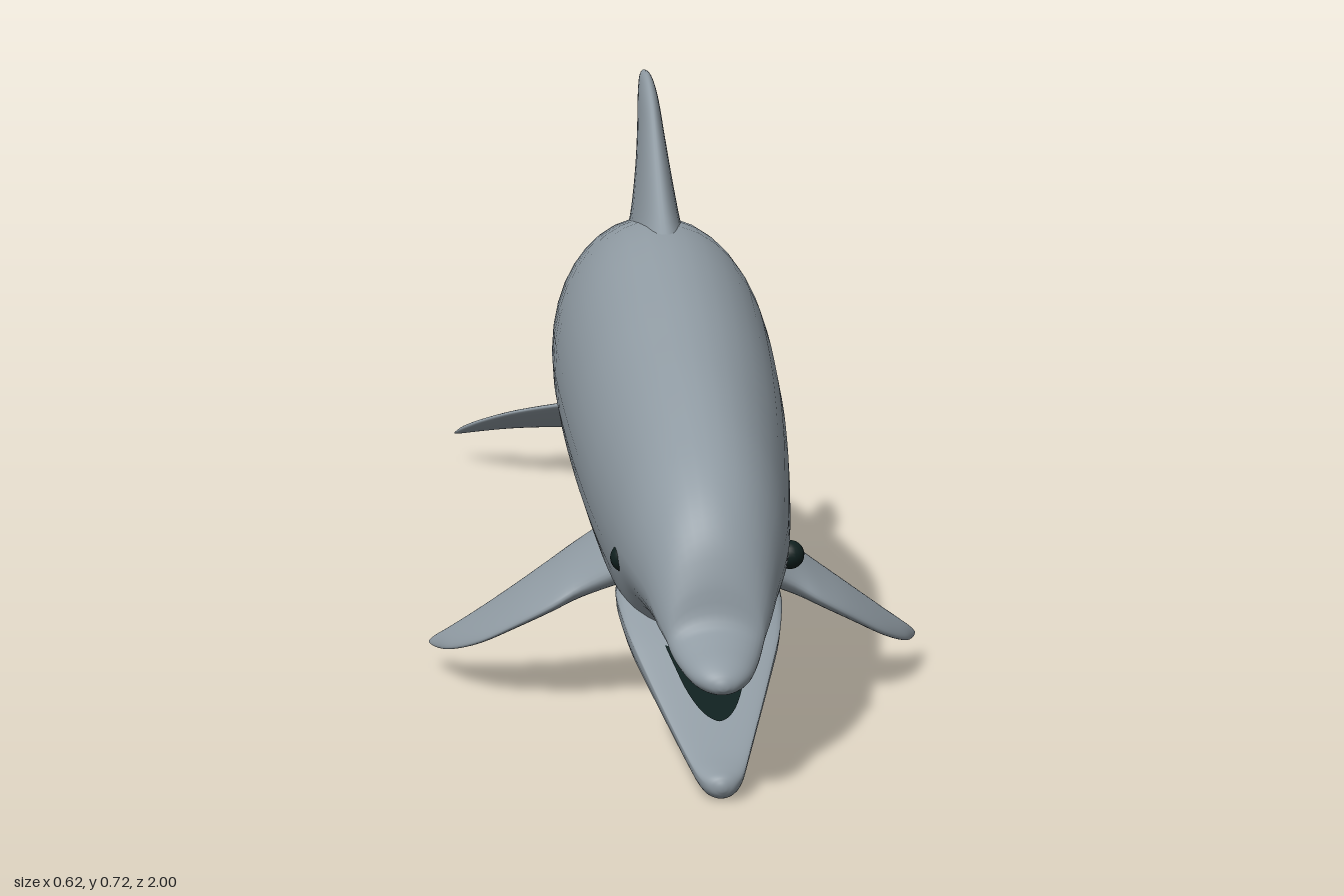
import * as THREE from 'three';

const skin = new THREE.MeshStandardMaterial({ color: 0x8f9aa2 });
skin.name = 'greySkin';
const dark = new THREE.MeshStandardMaterial({ color: 0x10201f, side: THREE.DoubleSide });
dark.name = 'darkEyeAndMouth';
const white = new THREE.MeshStandardMaterial({ color: 0xe8eaea });
white.name = 'eyeWhite';

const RING = 36;

// Closed skin over equal-sized rings of points, capped at both ends
function loft(rings, flip = false) {
  const n = rings[0].length, pos = [], index = [];
  rings.forEach(r => r.forEach(p => pos.push(...p)));
  const tri = (a, b, c) => (flip ? index.push(a, c, b) : index.push(a, b, c));
  for (let i = 0; i < rings.length - 1; i++) {
    for (let j = 0; j < n; j++) {
      const a = i * n + j, b = i * n + (j + 1) % n;
      tri(a, b, a + n);
      tri(b, b + n, a + n);
    }
  }
  [0, rings.length - 1].forEach((k, end) => {
    const c = pos.length / 3;
    pos.push(...[0, 1, 2].map(d => rings[k].reduce((s, p) => s + p[d], 0) / n));
    for (let j = 0; j < n; j++) {
      const a = k * n + j, b = k * n + (j + 1) % n;
      end ? tri(a, b, c) : tri(b, a, c);
    }
  });
  const g = new THREE.BufferGeometry();
  g.setAttribute('position', new THREE.Float32BufferAttribute(pos, 3));
  g.setIndex(index);
  g.computeVertexNormals();
  return g;
}

// Smoothly interpolate a table of section rows
function refine(rows, steps) {
  const curve = cols => new THREE.CatmullRomCurve3(
    rows.map(r => new THREE.Vector3(...cols.map(c => r[c]))), false, 'catmullrom', 0.5);
  const a = curve([0, 1, 2]), b = curve([0, 3, 4]);
  const count = (rows.length - 1) * steps;
  return Array.from({ length: count + 1 }, (_, i) => {
    const p = a.getPoint(i / count), q = b.getPoint(i / count);
    return [p.x, p.y, p.z, q.y, q.z];
  });
}

function ring(fn) {
  return Array.from({ length: RING }, (_, j) => {
    const t = (j / RING) * Math.PI * 2;
    return fn(Math.cos(t), Math.sin(t));
  });
}

// Rows: z, top, bottom, half width, height of the widest point
const trunk = rows => loft(refine(rows, 4).map(([z, top, bot, w, mid]) =>
  ring((c, s) => [w * c, mid + s * (s > 0 ? top - mid : mid - bot), z])));

// Rows: x, front z, back z, centre y, half thickness
const sideFin = (rows, side, slope) => loft(refine(rows, 4).map(([x, zf, zb, y, t]) =>
  ring((c, s) => {
    const dz = s * (zf - zb) / 2;
    return [side * x, y + t * c + slope * dz, (zf + zb) / 2 + dz];
  })), side < 0);

// Rows: y, front z, back z, half thickness, unused
const topFin = rows => loft(refine(rows, 4).map(([y, zf, zb, t]) =>
  ring((c, s) => [t * s, y, (zf + zb) / 2 + c * (zf - zb) / 2])));

export function createModel() {
  const model = new THREE.Group();
  model.name = 'dolphin';
  const add = (name, geometry, material, x = 0, y = 0, z = 0) => {
    const m = new THREE.Mesh(geometry, material);
    m.name = name;
    m.position.set(x, y, z);
    model.add(m);
    return m;
  };

  // Body, forehead and upper beak
  add('bodyAndUpperBeak', trunk([
    [-0.93, 0.085, 0.068, 0.006, 0.076],
    [-0.86, 0.122, 0.084, 0.02, 0.103],
    [-0.78, 0.195, 0.1, 0.028, 0.14],
    [-0.7, 0.268, 0.12, 0.035, 0.19],
    [-0.6, 0.328, 0.14, 0.052, 0.23],
    [-0.5, 0.383, 0.155, 0.074, 0.27],
    [-0.35, 0.455, 0.169, 0.105, 0.31],
    [-0.2, 0.492, 0.165, 0.117, 0.33],
    [0, 0.53, 0.156, 0.133, 0.35],
    [0.2, 0.545, 0.145, 0.14, 0.35],
    [0.4, 0.503, 0.127, 0.135, 0.32],
    [0.55, 0.46, 0.11, 0.125, 0.29],
    [0.64, 0.433, 0.1, 0.116, 0.27],
    [0.71, 0.408, 0.105, 0.108, 0.255],
    [0.77, 0.383, 0.14, 0.1, 0.245],
    [0.82, 0.357, 0.153, 0.09, 0.235],
    [0.865, 0.322, 0.15, 0.077, 0.22],
    [0.895, 0.283, 0.144, 0.066, 0.195],
    [0.912, 0.237, 0.14, 0.057, 0.175],
    [0.922, 0.192, 0.135, 0.052, 0.16],
    [0.945, 0.175, 0.128, 0.045, 0.15],
    [0.975, 0.162, 0.123, 0.034, 0.142],
    [0.993, 0.15, 0.125, 0.02, 0.138],
    [1.0, 0.139, 0.131, 0.005, 0.135],
  ]), skin);

  // Open lower jaw
  add('lowerJaw', trunk([
    [0.62, 0.2, 0.108, 0.09, 0.17],
    [0.7, 0.195, 0.088, 0.098, 0.172],
    [0.77, 0.156, 0.07, 0.09, 0.145],
    [0.83, 0.115, 0.052, 0.072, 0.108],
    [0.89, 0.075, 0.03, 0.052, 0.07],
    [0.94, 0.047, 0.01, 0.036, 0.042],
    [0.972, 0.036, 0.002, 0.026, 0.027],
    [0.988, 0.031, 0.006, 0.016, 0.02],
    [0.994, 0.022, 0.014, 0.004, 0.018],
  ]), skin);

  // Dark tapering plate inside the mouth
  const plate = new THREE.Shape();
  plate.moveTo(-0.055, 0);
  plate.lineTo(0.055, 0);
  plate.lineTo(0.035, 0.13);
  plate.quadraticCurveTo(0.02, 0.21, 0, 0.215);
  plate.quadraticCurveTo(-0.02, 0.21, -0.035, 0.13);
  const mouth = add('mouthInterior', new THREE.ShapeGeometry(plate), dark, 0, 0.148, 0.755);
  mouth.rotation.x = Math.PI / 2 + 0.29;

  // Dorsal fin
  add('dorsalFin', topFin([
    [0.47, 0.37, -0.17, 0.04, 0],
    [0.515, 0.3, -0.1, 0.035, 0],
    [0.55, 0.225, -0.068, 0.029, 0],
    [0.6, 0.155, -0.062, 0.022, 0],
    [0.645, 0.095, -0.078, 0.017, 0],
    [0.685, 0.04, -0.107, 0.013, 0],
    [0.707, -0.008, -0.122, 0.009, 0],
    [0.716, -0.045, -0.115, 0.005, 0],
    [0.718, -0.07, -0.1, 0.001, 0],
  ]), skin);

  for (const side of [1, -1]) {
    const label = side > 0 ? 'left' : 'right';

    // Flippers
    add(label + 'Flipper', sideFin([
      [0.08, 0.6, 0.44, 0.19, 0.034],
      [0.13, 0.575, 0.428, 0.16, 0.025],
      [0.165, 0.57, 0.425, 0.138, 0.019],
      [0.205, 0.55, 0.423, 0.112, 0.015],
      [0.25, 0.51, 0.405, 0.08, 0.011],
      [0.285, 0.45, 0.382, 0.055, 0.008],
      [0.303, 0.395, 0.362, 0.042, 0.005],
      [0.311, 0.363, 0.357, 0.037, 0.001],
    ], side, -0.12), skin);

    // Tail flukes
    add(label + 'Fluke', sideFin([
      [0, -0.75, -0.93, 0.108, 0.018],
      [0.02, -0.772, -0.955, 0.102, 0.017],
      [0.05, -0.797, -0.966, 0.097, 0.014],
      [0.1, -0.825, -0.968, 0.091, 0.011],
      [0.15, -0.862, -0.974, 0.082, 0.009],
      [0.195, -0.915, -0.986, 0.068, 0.007],
      [0.222, -0.962, -0.996, 0.056, 0.005],
      [0.236, -0.995, -1.0, 0.047, 0.001],
    ], side, 0.38), skin);

    // Eyes: the right one sits deeper in the skin
    const depth = side > 0 ? 0.103 : 0.091;
    add(label + 'Eye', new THREE.SphereGeometry(0.017, 20, 14), dark, side * depth, 0.229, 0.75);
    add(label + 'EyeCorner', new THREE.SphereGeometry(0.008, 12, 8), white,
      side * (depth - 0.001), 0.226, 0.734);
  }
  return model;
}
